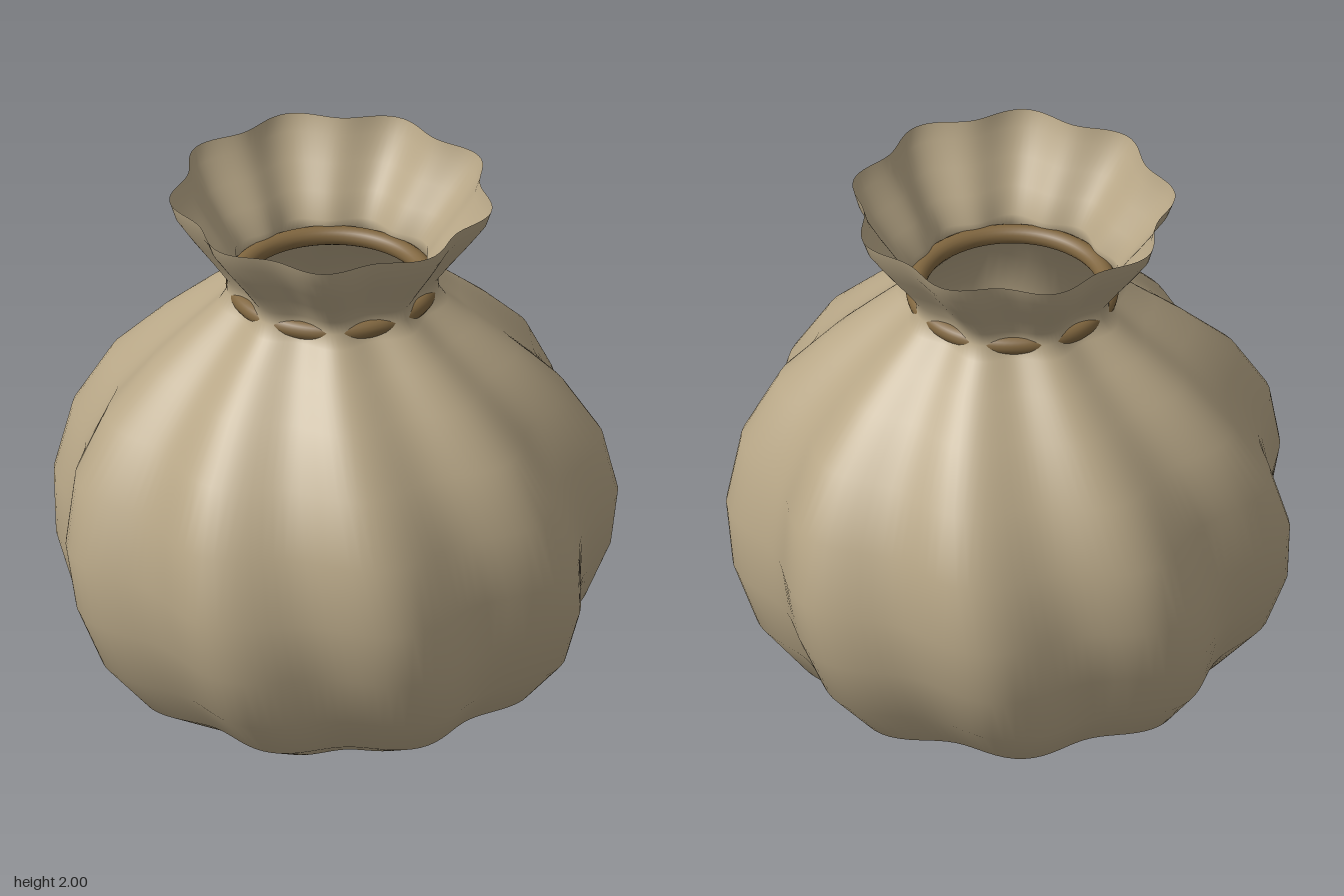
import * as THREE from 'three';
import { mergeVertices } from 'three/addons/utils/BufferGeometryUtils.js';

const FOLDS = 9;

// Average radius of the sack at each height, bottom to rim
const PROFILE = [
  [0, 0.005], [0.27, 0.045], [0.51, 0.11], [0.7, 0.225], [0.835, 0.395],
  [0.905, 0.6], [0.922, 0.81], [0.873, 1.04], [0.757, 1.245], [0.597, 1.41],
  [0.47, 1.525], [0.375, 1.61], [0.345, 1.655], [0.344, 1.7], [0.398, 1.78],
  [0.455, 1.86], [0.508, 1.94], [0.527, 2.0],
];

// Lathe whose radius ripples in folds that twist slowly with height
function pleatedSack() {
  const points = PROFILE.map(([r, y]) => new THREE.Vector2(r, y));
  let geo = new THREE.LatheGeometry(points, 144);
  geo.deleteAttribute('uv');
  geo.deleteAttribute('normal');
  const pos = geo.attributes.position;
  for (let i = 0; i < pos.count; i++) {
    const x = pos.getX(i), y = pos.getY(i), z = pos.getZ(i);
    const twist = THREE.MathUtils.degToRad(2 + 15.3 * (y - 0.82));
    const k = 1 + 0.048 * Math.cos(FOLDS * (Math.atan2(z, x) - twist));
    pos.setXYZ(i, x * k, y, z * k);
  }
  geo = mergeVertices(geo, 1e-5); // closes the seam so shading stays smooth
  geo.computeVertexNormals();
  return geo;
}

export function createModel() {
  const cloth = new THREE.MeshStandardMaterial({ color: 0xb8a787, side: THREE.DoubleSide });
  cloth.name = 'tan cloth';
  const cord = new THREE.MeshStandardMaterial({ color: 0x80663f });
  cord.name = 'brown cord';

  const group = new THREE.Group();
  group.name = 'sack';

  const body = new THREE.Mesh(pleatedSack(), cloth);
  body.name = 'clothSack';

  // Cord threaded through the folds of the neck
  const tie = new THREE.Mesh(new THREE.TorusGeometry(0.326, 0.033, 16, 96), cord);
  tie.name = 'neckCord';
  tie.rotation.x = Math.PI / 2;
  tie.position.y = 1.645;

  group.add(body, tie);
  group.position.x = -0.015;
  return group;
}
